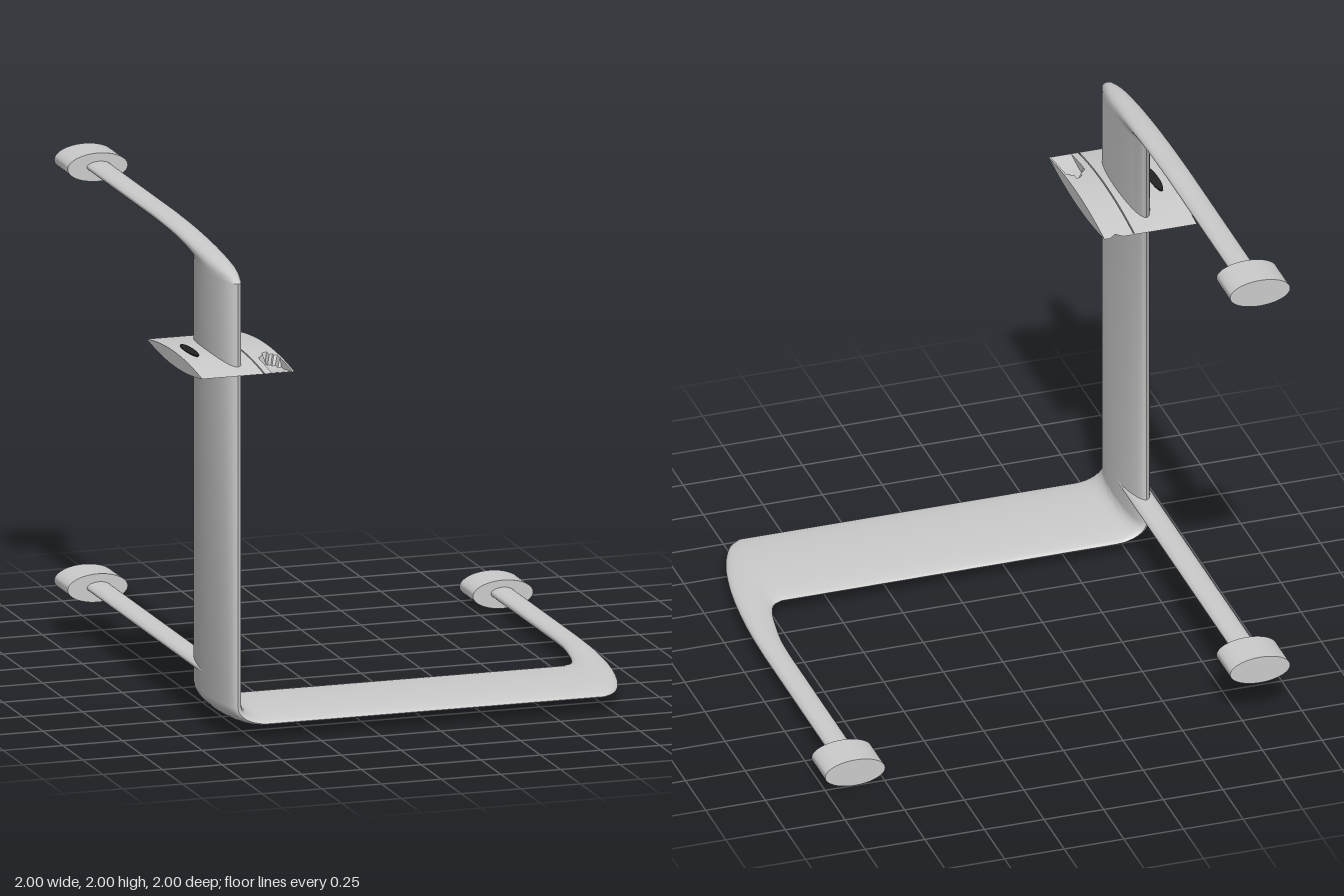
import * as THREE from 'three';
import { toCreasedNormals } from 'three/addons/utils/BufferGeometryUtils.js';

const grey = new THREE.MeshStandardMaterial({ color: 0xcccccc, side: THREE.DoubleSide });
const dark = new THREE.MeshStandardMaterial({ color: 0x222222 });
const V = (x, y, z) => new THREE.Vector3(x, y, z);

// Skin a list of closed rings and close both ends
function loft(rings, crease = 0.6) {
  const pos = [], n = rings[0].length;
  const tri = (...p) => p.forEach(v => pos.push(v.x, v.y, v.z));
  for (let i = 0; i < rings.length - 1; i++) {
    for (let j = 0; j < n; j++) {
      const k = (j + 1) % n, a = rings[i], b = rings[i + 1];
      tri(a[j], a[k], b[j]);
      tri(a[k], b[k], b[j]);
    }
  }
  const cap = (r, flip) => {
    const c = r.reduce((s, p) => s.add(p), V(0, 0, 0)).divideScalar(n);
    r.forEach((p, j) => {
      const q = r[(j + 1) % n];
      flip ? tri(c, q, p) : tri(c, p, q);
    });
  };
  cap(rings[0], true);
  cap(rings[rings.length - 1], false);
  const g = new THREE.BufferGeometry();
  g.setAttribute('position', new THREE.Float32BufferAttribute(pos, 3));
  return toCreasedNormals(g, crease);
}

// Elliptical section between an inner and outer edge, with half thickness vector v
function section(inner, outer, v, n = 32) {
  const c = inner.clone().add(outer).multiplyScalar(0.5), u = outer.clone().sub(c);
  return Array.from({ length: n }, (_, j) => {
    const a = j / n * Math.PI * 2;
    return c.clone().addScaledVector(u, Math.cos(a)).addScaledVector(v, Math.sin(a));
  });
}

// Smooth pairs of edge points through a transition
function edges(inner, outer, steps) {
  const a = new THREE.CatmullRomCurve3(inner), b = new THREE.CatmullRomCurve3(outer);
  return Array.from({ length: steps + 1 }, (_, i) => [a.getPoint(i / steps), b.getPoint(i / steps)]);
}

// One continuous body: upper rod, upright blade, corner, lower blade, side rod
function frameGeometry() {
  const rings = [], X = -0.82, F = 0.91, B = 0.395;
  const thickX = V(-0.05, 0, 0), thickY = V(0, -0.024, 0);
  rings.push(section(V(X, 1.923, -0.85), V(X, 1.967, -0.85), thickX));
  const top = edges(
    [[1.923, 0], [1.92, 0.15], [1.912, 0.26], [1.9, 0.34], [1.888, 0.385], [1.875, B]].map(([y, z]) => V(X, y, z)),
    [[1.967, 0], [1.958, 0.3], [1.942, 0.56], [1.922, 0.76], [1.9, 0.87], [1.875, F]].map(([y, z]) => V(X, y, z)), 15);
  top.forEach(([i, o]) => rings.push(section(i, o, thickX)));
  for (let s = 0; s <= 8; s++) {
    const a = s / 8 * Math.PI / 2, c = Math.cos(a), d = Math.sin(a);
    const out = V(-0.69 - 0.18 * c, 0.14 - 0.099 * d, 0), inn = V(-0.69 - 0.08 * c, 0.14 - 0.051 * d, 0);
    const mid = out.clone().add(inn).multiplyScalar(0.5);
    rings.push(section(V(mid.x, mid.y, B), V(mid.x, mid.y, F), out.sub(inn).multiplyScalar(0.5)));
  }
  const side = edges(
    [[0.71, 0.392], [0.75, 0.37], [0.778, 0.31], [0.8, 0.2], [0.817, 0.08], [0.822, -0.05]].map(([x, z]) => V(x, 0.065, z)),
    [[0.715, F], [0.765, 0.87], [0.825, 0.75], [0.88, 0.53], [0.912, 0.24], [0.92, 0]].map(([x, z]) => V(x, 0.065, z)), 15);
  side.forEach(([i, o]) => rings.push(section(i, o, thickY)));
  rings.push(section(V(0.822, 0.065, -0.85), V(0.92, 0.065, -0.85), thickY));
  return loft(rings);
}

// Lens-section fin swept along x, with an optional slot at the front and nick at the rear
function finGeometry(xs, slotted) {
  const N = 40;
  return loft(xs.map(x => {
    const off = Math.abs(x + 0.664);
    const z0 = 0.305 + (slotted ? 0.02 * Math.max(0, 1 - off / 0.028) : 0);
    const slotStart = slotted && off < 0.0425 ? 0.77 + 2 * off : 2;
    const up = [], down = [];
    for (let i = 0; i <= N; i++) {
      const z = z0 + (1 - z0) * i / N, t = (z - 0.6525) / 0.3475;
      const h = 0.03 * Math.max(0, 1 - t * t), low = 1.522 - h;
      const y = z > slotStart ? Math.min(1.522 + h, Math.max(low + 0.002, 1.508)) : 1.522 + h;
      up.push(V(x, y, z));
      if (i > 0 && i < N) down.unshift(V(x, low, z));
    }
    return [...up, ...down];
  }), 0.5);
}

export function createModel() {
  const model = new THREE.Group();
  const add = (name, geometry, material = grey) => {
    const m = new THREE.Mesh(geometry, material);
    m.name = name;
    model.add(m);
    return m;
  };

  add('bladeFrame', frameGeometry());

  // Straight strut emerging from the back of the upright blade
  add('lowerStrut', loft([-0.85, 0.64].map(z =>
    section(V(-0.82, 0.2, z), V(-0.82, 0.245, z), V(-0.05, 0, 0)))));

  // Oval mounting feet at the back ends of the rods
  for (const [name, x, y] of [['upperFoot', -0.825, 1.943], ['lowerFoot', -0.825, 0.22], ['sideFoot', 0.873, 0.06]]) {
    const g = new THREE.CylinderGeometry(1, 1, 0.17, 48).rotateX(Math.PI / 2).scale(0.126, 0.058, 1);
    add(name, toCreasedNormals(g, 0.6)).position.set(x, y, -0.915);
  }

  // Cross fin in two pieces with a narrow seam
  add('crossFin', finGeometry([-1, -0.741], false));
  add('crossFinEnd', finGeometry(
    [-0.736, -0.707, -0.706, -0.692, -0.678, -0.664, -0.65, -0.636, -0.622, -0.621, -0.613], true));

  // Small oval button on top of the fin
  add('finButton', new THREE.CylinderGeometry(1, 1, 0.014, 32).scale(0.02, 1, 0.1), dark)
    .position.set(-0.937, 1.548, 0.653);

  return model;
}
